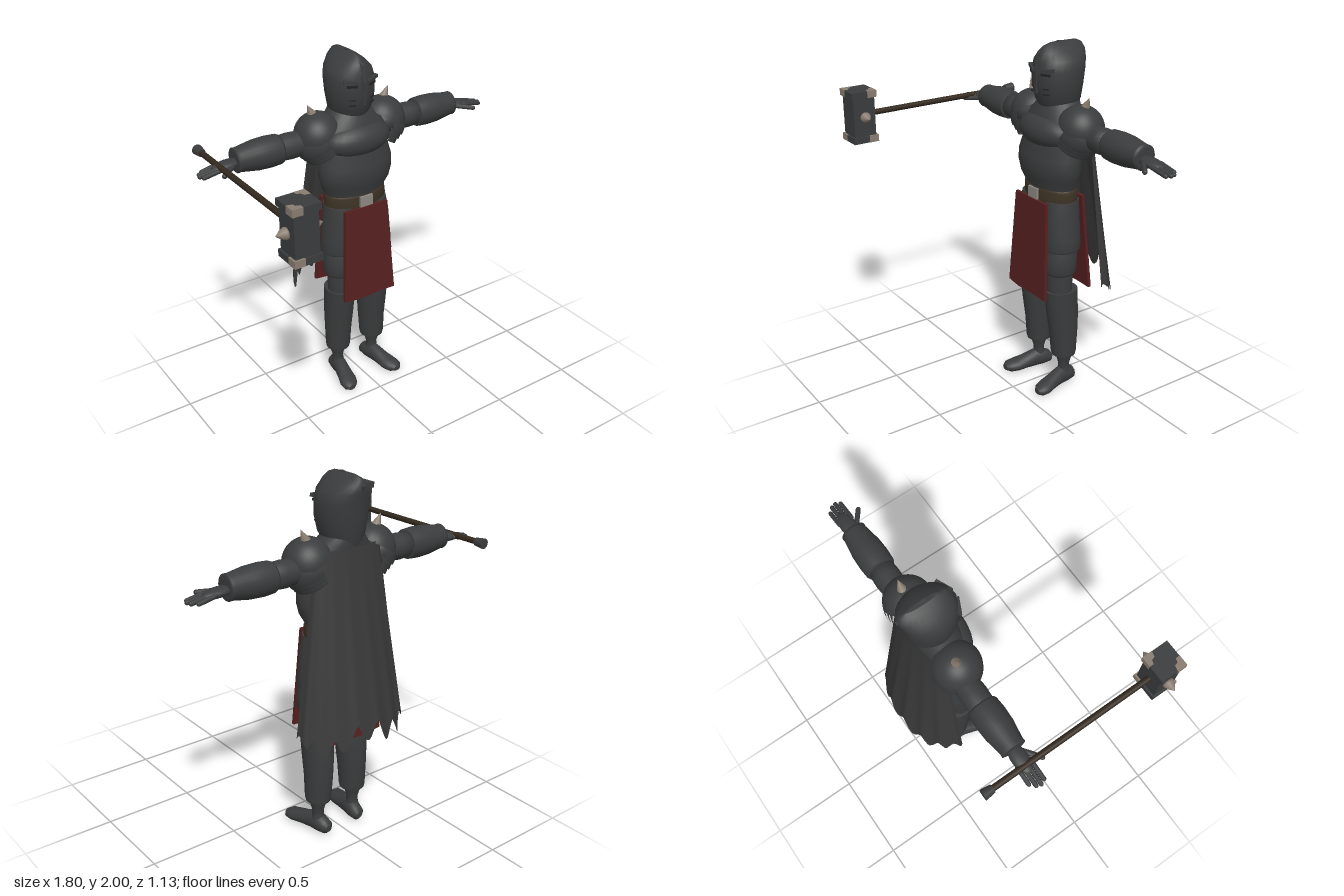
import * as THREE from 'three';

const mat = (name, color, side = THREE.FrontSide) => {
  const m = new THREE.MeshStandardMaterial({ color, side });
  m.name = name;
  return m;
};

// Elliptical cross-sections, each [y, centreX, radiusX, zFront, zBack], from bottom to top, with flat caps
function loft(rows, n = 28) {
  const pos = [], idx = [];
  const ring = ([y, cx, rx, zf, zb]) => {
    for (let j = 0; j < n; j++) {
      const a = (j / n) * Math.PI * 2;
      pos.push(cx + rx * Math.sin(a), y, (zf + zb) / 2 + ((zf - zb) / 2) * Math.cos(a));
    }
  };
  rows.forEach(ring);
  for (let i = 0; i < rows.length - 1; i++) for (let j = 0; j < n; j++) {
    const a = i * n + j, b = i * n + ((j + 1) % n);
    idx.push(a, b, b + n, a, b + n, a + n);
  }
  for (const [row, up] of [[rows[0], false], [rows[rows.length - 1], true]]) {
    const s = pos.length / 3;
    ring(row);
    pos.push(row[1], row[0], (row[3] + row[4]) / 2);
    for (let j = 0; j < n; j++) {
      const a = s + j, b = s + ((j + 1) % n);
      idx.push(s + n, up ? a : b, up ? b : a);
    }
  }
  const g = new THREE.BufferGeometry();
  g.setAttribute('position', new THREE.Float32BufferAttribute(pos, 3));
  g.setIndex(idx);
  g.computeVertexNormals();
  return g;
}

const lathe = (pts) => new THREE.LatheGeometry(pts.map(([r, y]) => new THREE.Vector2(r, y)), 24);

export function createModel() {
  const model = new THREE.Group();
  const steel = mat('dark steel', 0x3b3c3d);
  const plate = mat('plate steel', 0x3b3c3d, THREE.DoubleSide);
  const cloth = mat('cape cloth', 0x393939, THREE.DoubleSide);
  const red = mat('red cloth', 0x56201f);
  const leather = mat('belt leather', 0x3f3426);
  const wood = mat('handle wood', 0x33291e);
  const bone = mat('spike bone', 0x897d70);
  const silver = mat('buckle silver', 0x8d8984);
  const shade = mat('visor shadow', 0x222222);

  const add = (name, geo, material, parent = model, p = [0, 0, 0], r = [0, 0, 0]) => {
    const m = new THREE.Mesh(geo, material);
    m.name = name;
    m.position.set(...p);
    m.rotation.set(...r);
    parent.add(m);
    return m;
  };
  const ball = (name, parent, p, s, r) => {
    const m = add(name, new THREE.SphereGeometry(1, 24, 16), steel, parent, p, r);
    m.scale.set(...s);
    return m;
  };

  // Helmet with a crest swept to the back
  add('helmet', loft([
    [1.64, 0, 0.085, -0.2, -0.4], [1.7, 0, 0.115, -0.165, -0.415], [1.78, 0, 0.13, -0.145, -0.425],
    [1.86, 0, 0.133, -0.145, -0.435], [1.91, 0, 0.118, -0.15, -0.445], [1.95, 0, 0.08, -0.165, -0.45],
    [1.98, 0, 0.04, -0.19, -0.435], [1.995, 0, 0.012, -0.23, -0.4],
  ]), steel);
  const crest = new THREE.Shape([[0.14, 1.74], [0.137, 1.86], [0.16, 1.95], [0.21, 1.985], [0.29, 2],
    [0.4, 1.985], [0.455, 1.95], [0.43, 1.87], [0.3, 1.8]].map(([z, y]) => new THREE.Vector2(z, y)));
  add('helmetCrest', new THREE.ExtrudeGeometry(crest, { depth: 0.016, bevelEnabled: false }), steel,
    model, [-0.008, 0, 0], [0, Math.PI / 2, 0]);
  for (const s of [-1, 1]) {
    add('eyeSlit', new THREE.BoxGeometry(0.055, 0.013, 0.009), shade, model, [s * 0.06, 1.845, -0.16], [0, s * 0.45, 0]);
    add('brow', new THREE.BoxGeometry(0.09, 0.018, 0.02), steel, model, [s * 0.06, 1.866, -0.162], [0, s * 0.45, s * 0.12]);
    for (const y of [1.74, 1.77]) {
      add('breathSlit', new THREE.BoxGeometry(0.035, 0.006, 0.009), shade, model, [s * 0.06, y, -0.166], [0, s * 0.5, 0]);
    }
  }

  // Torso, breastplate and collar
  add('torso', loft([
    [1.14, 0, 0.17, -0.15, -0.36], [1.22, 0, 0.175, -0.145, -0.36], [1.28, 0, 0.208, -0.12, -0.365],
    [1.34, 0, 0.222, -0.108, -0.37], [1.4, 0, 0.222, -0.112, -0.37], [1.46, 0, 0.21, -0.13, -0.375],
    [1.56, 0, 0.205, -0.14, -0.38], [1.64, 0, 0.15, -0.18, -0.38], [1.69, 0, 0.09, -0.2, -0.38],
  ], 36), steel);
  ball('breastplate', model, [0, 1.53, -0.22], [0.2, 0.1, 0.112]);
  add('collar', loft([[1.575, 0, 0.2, -0.15, -0.39], [1.63, 0, 0.17, -0.165, -0.4], [1.69, 0, 0.11, -0.195, -0.405]]), steel);
  add('hips', loft([[0.92, 0, 0.13, -0.18, -0.34], [1, 0, 0.165, -0.155, -0.355], [1.16, 0, 0.17, -0.15, -0.36]]), steel);
  add('belt', loft([[1.148, 0, 0.176, -0.142, -0.365], [1.16, 0, 0.184, -0.136, -0.37],
    [1.215, 0, 0.184, -0.136, -0.37], [1.225, 0, 0.178, -0.14, -0.365]], 36), leather);
  add('buckle', new THREE.BoxGeometry(0.08, 0.066, 0.022), silver, model, [0, 1.188, -0.138]);

  // Front and back cloth panels
  const panel = new THREE.Shape([[-0.145, 0], [-0.175, -0.55], [-0.08, -0.562], [0.05, -0.556], [0.163, -0.56],
    [0.13, 0]].map(([x, y]) => new THREE.Vector2(x, y)));
  const panelGeo = new THREE.ExtrudeGeometry(panel, { depth: 0.018, bevelEnabled: false });
  add('frontTabard', panelGeo, red, model, [0, 1.16, -0.138], [-0.045, 0, 0]);
  add('backTabard', panelGeo, red, model, [0, 1.16, -0.385], [0.075, 0, 0]);

  // Cape: half-ellipse sections widening downwards, ripples and a ragged hem
  const cols = 64, rowsN = 16;
  const cape = new THREE.PlaneGeometry(1, 1, cols, rowsN);
  const cp = cape.attributes.position;
  for (let i = 0; i <= rowsN; i++) for (let j = 0; j <= cols; j++) {
    const u = j / cols, t = i / rowsN, a = (u - 0.5) * Math.PI;
    const tooth = Math.abs(((u * 8 + 0.35) % 1) * 2 - 1);
    const hem = 0.59 + 0.1 * tooth * (0.8 + 0.4 * Math.sin(j * 0.7)) + 0.03 * (1 + Math.sin(j * 0.23));
    const ripple = 1 + 0.02 * t * Math.sin(u * 50);
    const w = 0.2 + 0.135 * t, edge = -0.34 - 0.02 * t, depth = 0.06 + 0.14 * t;
    cp.setXYZ(i * (cols + 1) + j, w * ripple * Math.sin(a), 1.64 + (hem - 1.64) * t, edge - depth * ripple * Math.cos(a));
  }
  cape.computeVertexNormals();
  add('cape', cape, cloth);

  for (const s of [-1, 1]) {
    // Shoulder guard: dome over overlapping plates, with a spike
    const guard = new THREE.Group();
    guard.name = 'shoulderGuard';
    guard.position.set(s * 0.205, 1.575, -0.283);
    guard.rotation.z = -s * 0.55;
    model.add(guard);
    add('shoulderDome', new THREE.SphereGeometry(0.128, 28, 12, 0, Math.PI * 2, 0, 1.45), plate, guard);
    for (let k = 0; k < 3; k++) {
      const band = add('shoulderPlate', new THREE.SphereGeometry(0.128 - k * 0.007, 28, 5, s > 0 ? Math.PI / 2 : -Math.PI / 2, Math.PI, 1.0, 0.65),
        plate, guard, [s * 0.008, -0.025 - k * 0.03, 0]);
      band.scale.set(1.08, 1, 1.02);
    }
    add('shoulderSpike', new THREE.ConeGeometry(0.028, 0.07, 16), bone, model, [s * 0.24, 1.718, -0.295], [0, 0, -s * 0.45]);

    // Arm, cuff and open hand, pointing sideways
    const arm = new THREE.Group();
    arm.name = 'arm';
    arm.position.set(0, 1.55, -0.295);
    arm.rotation.z = -s * Math.PI / 2;
    model.add(arm);
    add('upperArm', lathe([[0, 0.15], [0.065, 0.18], [0.066, 0.3], [0.071, 0.37], [0.066, 0.45], [0, 0.46]]), steel, arm);
    add('forearmCuff', lathe([[0.05, 0.43], [0.075, 0.43], [0.08, 0.44], [0.084, 0.5], [0.081, 0.57], [0.065, 0.67],
      [0.067, 0.685], [0.05, 0.688], [0, 0.688]]), steel, arm);
    ball('palm', model, [s * 0.735, 1.538, -0.295], [0.085, 0.024, 0.043], [0, 0, -s * 0.08]);
    const digit = (name, from, to, r) => {
      const a = new THREE.Vector3(...from), b = new THREE.Vector3(...to), d = b.clone().sub(a);
      const m = add(name, new THREE.CapsuleGeometry(r, d.length() - r, 4, 10), steel, model, a.clone().add(b).multiplyScalar(0.5).toArray());
      m.quaternion.setFromUnitVectors(new THREE.Vector3(0, 1, 0), d.normalize());
    };
    [0.86, 0.885, 0.892, 0.88].forEach((x, k) => {
      const z = -0.33 + k * 0.024;
      digit('finger', [s * 0.76, 1.538, z], [s * x, 1.517, z], 0.0115);
    });
    digit('thumb', [s * 0.71, 1.535, -0.265], [s * 0.795, 1.525, -0.2], 0.013);

    // Leg: thigh plates, knee, greave, ankle and foot
    const leg = (name, rows) => add(name, loft(rows.map(([y, cx, ...rest]) => [y, s * cx, ...rest])), steel);
    leg('thighGuard', [[0.87, 0.115, 0.09, -0.15, -0.34], [0.885, 0.115, 0.104, -0.138, -0.352],
      [0.95, 0.112, 0.1, -0.14, -0.352], [1.08, 0.105, 0.094, -0.14, -0.35], [1.16, 0.1, 0.085, -0.15, -0.35]]);
    leg('kneeGuard', [[0.73, 0.118, 0.08, -0.155, -0.315], [0.75, 0.118, 0.094, -0.14, -0.328],
      [0.82, 0.118, 0.096, -0.138, -0.328], [0.88, 0.115, 0.09, -0.15, -0.335]]);
    leg('knee', [[0.58, 0.115, 0.072, -0.17, -0.305], [0.66, 0.115, 0.074, -0.16, -0.308], [0.75, 0.115, 0.075, -0.165, -0.31]]);
    leg('greave', [[0.2, 0.12, 0.068, -0.203, -0.342], [0.22, 0.12, 0.072, -0.198, -0.346], [0.35, 0.117, 0.076, -0.185, -0.355],
      [0.48, 0.115, 0.083, -0.165, -0.357], [0.56, 0.115, 0.083, -0.155, -0.35], [0.622, 0.115, 0.085, -0.148, -0.347]]);
    add('ankle', lathe([[0.042, 0.05], [0.034, 0.1], [0.031, 0.13], [0.042, 0.17], [0.052, 0.21]]), steel, model, [s * 0.122, 0, -0.275]);
    const foot = leg('foot', [[-0.357, 0.11, 0.018, -0.025, -0.06], [-0.34, 0.112, 0.038, -0.008, -0.085],
      [-0.29, 0.118, 0.045, -0.002, -0.108], [-0.24, 0.125, 0.042, -0.002, -0.11], [-0.18, 0.137, 0.046, -0.002, -0.088],
      [-0.12, 0.15, 0.054, 0, -0.07], [-0.08, 0.158, 0.046, -0.002, -0.062], [-0.056, 0.162, 0.022, -0.014, -0.045]]);
    foot.rotation.x = Math.PI / 2;
  }

  // War hammer lying along z through the right hand
  const hammer = new THREE.Group();
  hammer.name = 'hammer';
  hammer.position.set(-0.778, 1.545, 0);
  model.add(hammer);
  const along = [Math.PI / 2, 0, 0];
  add('handle', new THREE.CylinderGeometry(0.016, 0.016, 0.94, 14), wood, hammer, [0, 0, -0.03], along);
  add('pommel', new THREE.CylinderGeometry(0.022, 0.029, 0.055, 14), steel, hammer, [0, 0, -0.507], along);
  add('hammerBlock', new THREE.BoxGeometry(0.128, 0.25, 0.128), steel, hammer, [0, 0, 0.497]);
  const corner = new THREE.Shape([[0, 0], [0.056, 0], [0.05, 0.03], [0.03, 0.036], [0.024, 0.056], [0, 0.056]]
    .map(([x, y]) => new THREE.Vector2(x, y)));
  const cornerGeo = new THREE.ExtrudeGeometry(corner, { depth: 0.038, bevelEnabled: false }).translate(0, 0, -0.019);
  for (const s of [-1, 1]) {
    add('hammerFace', new THREE.BoxGeometry(0.147, 0.036, 0.147), steel, hammer, [0, s * 0.127, 0.497]);
    add('sideSpike', lathe([[0, -0.01], [0.028, 0], [0.03, 0.012], [0.022, 0.03], [0, 0.06]]), bone, hammer,
      [s * 0.062, 0, 0.495], [0, 0, -s * Math.PI / 2]);
    // Corner caps on opposite corners of each striking face
    add('cornerCap', cornerGeo, bone, hammer, [0.0745, s * 0.127, 0.4225], [Math.PI / 2, 0, Math.PI / 2]);
    add('cornerCap', cornerGeo, bone, hammer, [-0.0745, s * 0.127, 0.5715], [Math.PI / 2, 0, -Math.PI / 2]);
  }
  return model;
}
